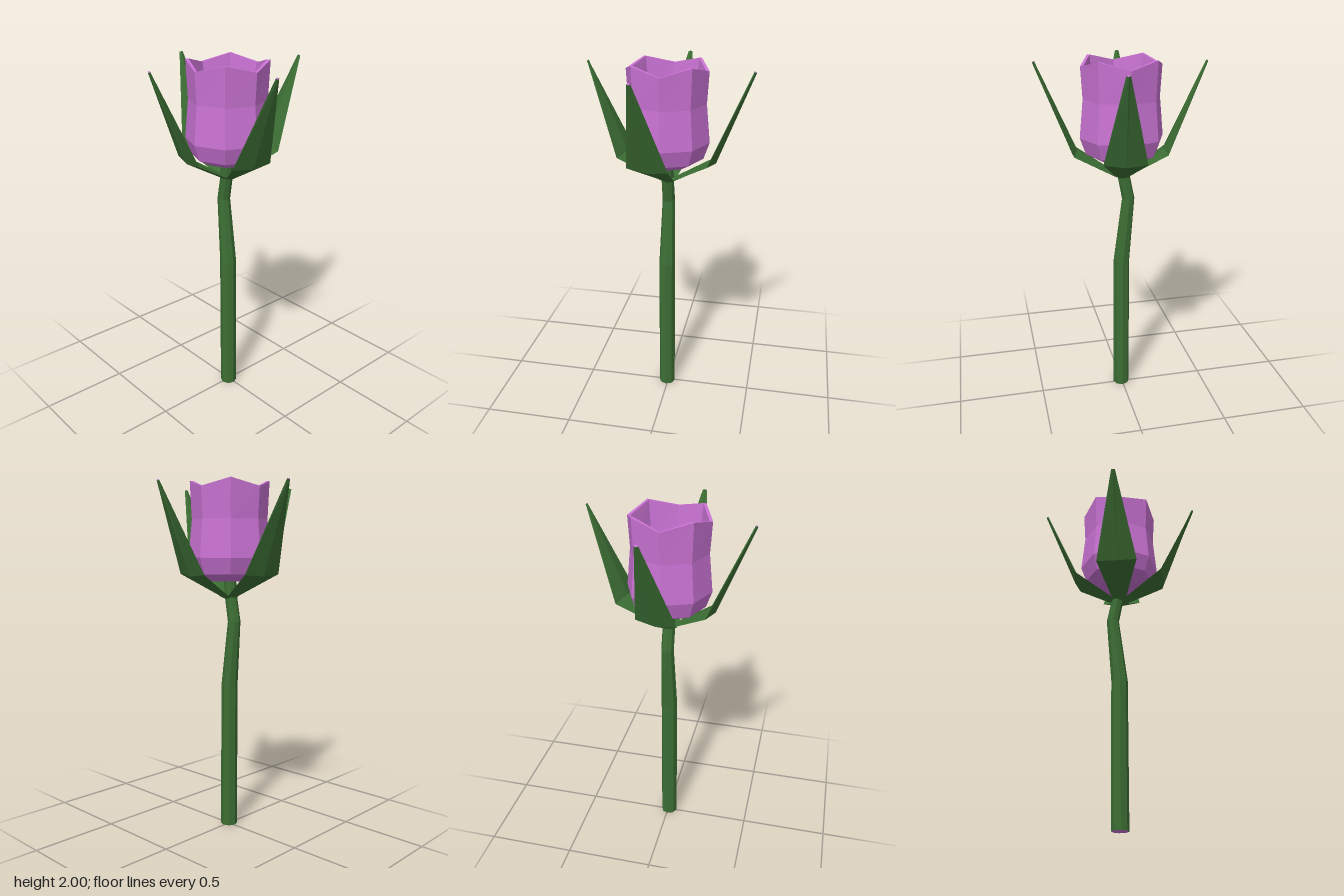
import * as THREE from 'three';

const material = (color) => new THREE.MeshStandardMaterial({ color, flatShading: true, side: THREE.DoubleSide });
const green = material(0x3c6e34);
const purple = material(0xc872d2);
const yellow = material(0xcdb45e);

// Skins a list of closed cross-sections, each a list of [x, y, z] points
function loft(name, rings, mat) {
  const pos = [];
  const n = rings[0].length;
  for (let i = 0; i < rings.length - 1; i++) {
    for (let j = 0; j < n; j++) {
      const k = (j + 1) % n;
      const a = rings[i][j], b = rings[i][k], c = rings[i + 1][j], d = rings[i + 1][k];
      pos.push(...a, ...c, ...b, ...b, ...c, ...d);
    }
  }
  const geo = new THREE.BufferGeometry();
  geo.setAttribute('position', new THREE.Float32BufferAttribute(pos, 3));
  geo.computeVertexNormals();
  const mesh = new THREE.Mesh(geo, mat);
  mesh.name = name;
  return mesh;
}

// Octagonal ring; wave lifts the diagonal corners and lowers the others
function ring(r, y, cx = 0, cz = 0, wave = 0) {
  return Array.from({ length: 8 }, (_, j) => {
    const a = (j * Math.PI) / 4;
    return [cx + r * Math.cos(a), y + (j % 2 ? wave : -wave), cz + r * Math.sin(a)];
  });
}

// Diamond section of a sepal: side corners, inner crease and outer keel
function diamond(x, y, z, halfWidth, skew, thick) {
  return [
    [x - skew, y, z + halfWidth],
    [x - thick * 0.8, y + thick * 0.6, z],
    [x + skew, y, z - halfWidth],
    [x + thick * 0.8, y - thick * 0.6, z],
  ];
}

function createSepal(shift) {
  const sepal = new THREE.Group();
  const tip = diamond(0.455, 1.978, 0.07 + shift, 0.011, 0.001, 0.007);
  const rings = [
    diamond(0.02, 1.355, 0, 0.035, 0.004, 0.012),
    diamond(0.252, 1.49, 0.035 + shift, 0.115, 0.02, 0.018),
    tip,
  ];
  const centre = tip.map(() => [0.455, 1.98, 0.07 + shift]);
  sepal.add(loft('sepalBlade', rings, green), loft('sepalTip', [tip, centre], purple));
  return sepal;
}

export function createModel() {
  const model = new THREE.Group();
  model.name = 'tulip';
  const cx = -0.007;

  // Bent, tapering stem with a cut end
  const foot = ring(0.048, 0, cx, 0.005);
  model.add(loft('stem', [
    foot,
    ring(0.047, 0.84, cx, 0.002),
    ring(0.036, 1.22, cx + 0.002, -0.037),
    ring(0.035, 1.35, cx, -0.012),
    ring(0.035, 1.47, cx, 0),
  ], green));
  model.add(loft('stemCutEnd', [ring(0, 0, cx, 0.005), foot], purple));

  // Petal cup: outside up to the wavy rim, then back down inside
  const profile = [
    [0, 1.45], [0.125, 1.45], [0.2, 1.49], [0.232, 1.58], [0.212, 1.79],
    [0.222, 1.98, 0.02], [0.205, 1.98, 0.02],
    [0.183, 1.79], [0.205, 1.59], [0.18, 1.52],
  ];
  model.add(loft('petalCup', profile.map(([r, y, w = 0]) => ring(r, y, cx, 0, w)), purple));

  // Low faceted dome inside the cup
  const dome = [[0.2, 1.54], [0.18, 1.56], [0.09, 1.64], [0, 1.64]];
  model.add(loft('flowerCentre', dome.map(([r, y]) => ring(r, y, cx, 0)), yellow));

  // Four sepals around the cup
  const sepals = new THREE.Group();
  sepals.name = 'sepals';
  [0, 0.03, 0, -0.03].forEach((shift, k) => {
    const sepal = createSepal(shift);
    sepal.name = `sepal${k + 1}`;
    sepal.rotation.y = (-k * Math.PI) / 2;
    sepals.add(sepal);
  });
  model.add(sepals);

  return model;
}
